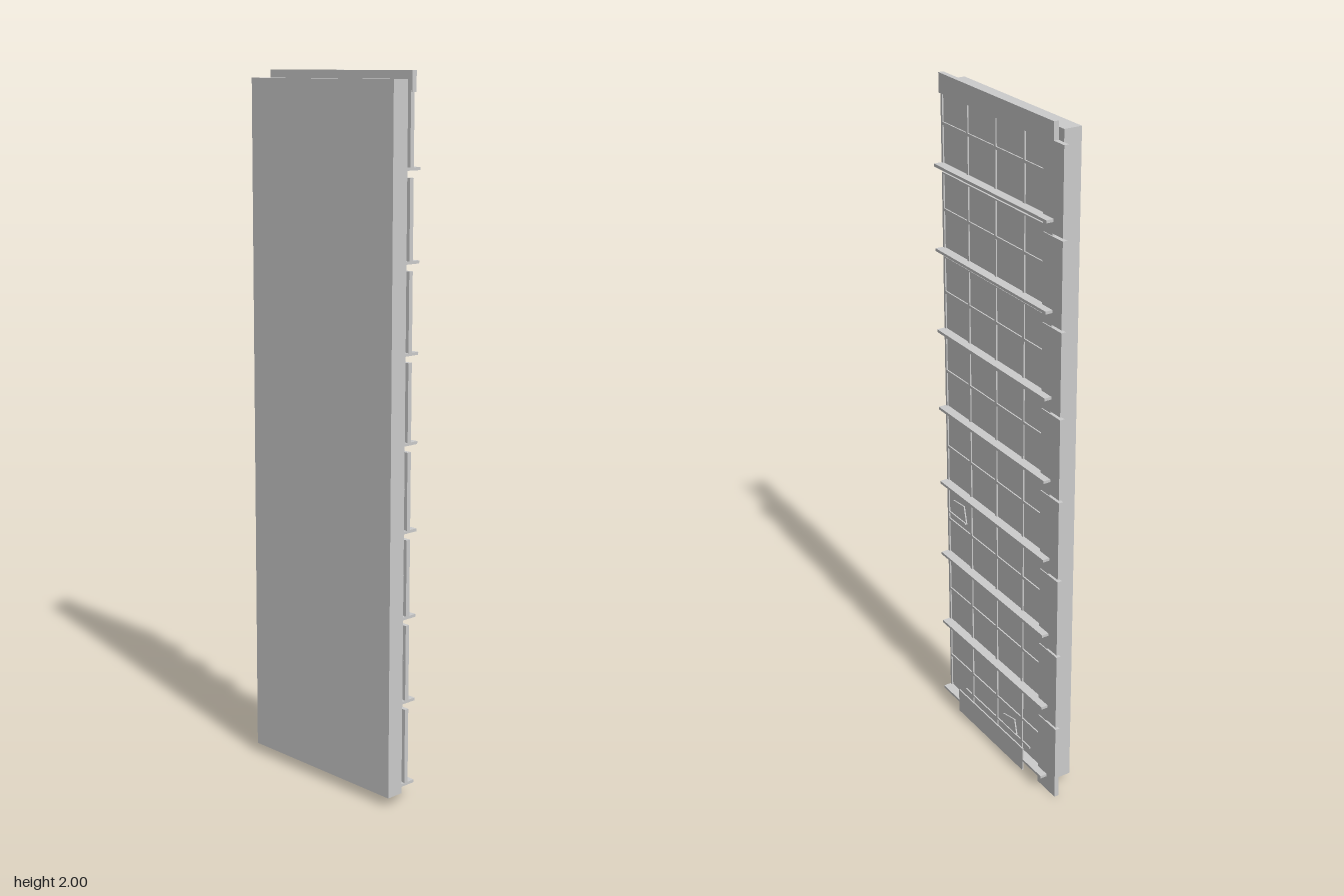
import * as THREE from 'three';

export function createModel() {
  const model = new THREE.Group();
  const mat = new THREE.MeshStandardMaterial({ color: 0xcccccc, flatShading: true, side: THREE.DoubleSide });

  // Box given by its extents on each axis
  function slab(name, x0, x1, y0, y1, z0, z1, parent = model) {
    const mesh = new THREE.Mesh(new THREE.BoxGeometry(x1 - x0, y1 - y0, z1 - z0), mat);
    mesh.position.set((x0 + x1) / 2, (y0 + y1) / 2, (z0 + z1) / 2);
    mesh.name = name;
    parent.add(mesh);
    return mesh;
  }

  // Thick backing wall
  slab('backingWall', -0.05, 0.002, 0.028, 1.978, -0.255, 0.296);

  // Facade: eight storeys of glazing, frame bars, floor ledges and side cladding
  const floors = 8, pitch = 0.2427;
  const barZ = [0.292, 0.163, 0.025, -0.112];
  for (let i = 0; i < floors; i++) {
    const storey = new THREE.Group();
    storey.name = 'storey' + (i + 1);
    model.add(storey);
    const base = 0.052 + i * pitch;
    const top = i === floors - 1 ? 1.95 : base + 0.219;

    slab('windowPanes', 0.015, 0.022, base, top, -0.206, 0.296, storey);
    for (const z of barZ) slab('verticalBar', 0.013, 0.026, base, top, z - 0.004, z + 0.004, storey);
    slab('middleRail', 0.013, 0.026, base + 0.109, base + 0.117, -0.206, 0.296, storey);
    slab('headRail', 0.013, 0.026, top - 0.004, top, -0.206, 0.296, storey);
    slab('floorLedge', 0, 0.05, base - 0.005, base + 0.003, -0.253, 0.296, storey);

    const sideBase = i * 0.245;
    slab('sideCladding', 0.015, 0.029, sideBase, sideBase + 0.237, -0.295, -0.206, storey);
    slab('claddingJoint', 0.016, 0.026, sideBase + 0.236, sideBase + (i < floors - 1 ? 0.246 : 0.24),
      -0.245, -0.206, storey);
  }

  // Parapet across the top
  slab('parapet', 0.014, 0.029, 1.945, 2, -0.25, 0.3);

  // Fascia and support over the ground-floor entrance
  slab('entranceFascia', 0.046, 0.05, 0.015, 0.092, -0.155, 0.205);
  slab('entranceSupport', 0, 0.026, 0.082, 0.088, -0.155, 0.205);

  // Small irregular plates on the glazing; corners are [z, y]
  const plates = [
    [[0.283, 0.68], [0.19, 0.68], [0.203, 0.732], [0.262, 0.726], [0.268, 0.697]],
    [[-0.01, 0.092], [-0.085, 0.092], [-0.073, 0.138], [-0.012, 0.124]],
  ];
  for (const corners of plates) {
    const shape = new THREE.Shape(corners.map(([z, y]) => new THREE.Vector2(-z, y)));
    const geo = new THREE.ExtrudeGeometry(shape, { depth: 0.006, bevelEnabled: false });
    geo.rotateY(Math.PI / 2);
    const plate = new THREE.Mesh(geo, mat);
    plate.position.x = 0.02;
    plate.name = 'windowPlate';
    model.add(plate);
  }
  slab('plateSill', 0.012, 0.03, 0.677, 0.682, 0.19, 0.283);

  return model;
}
